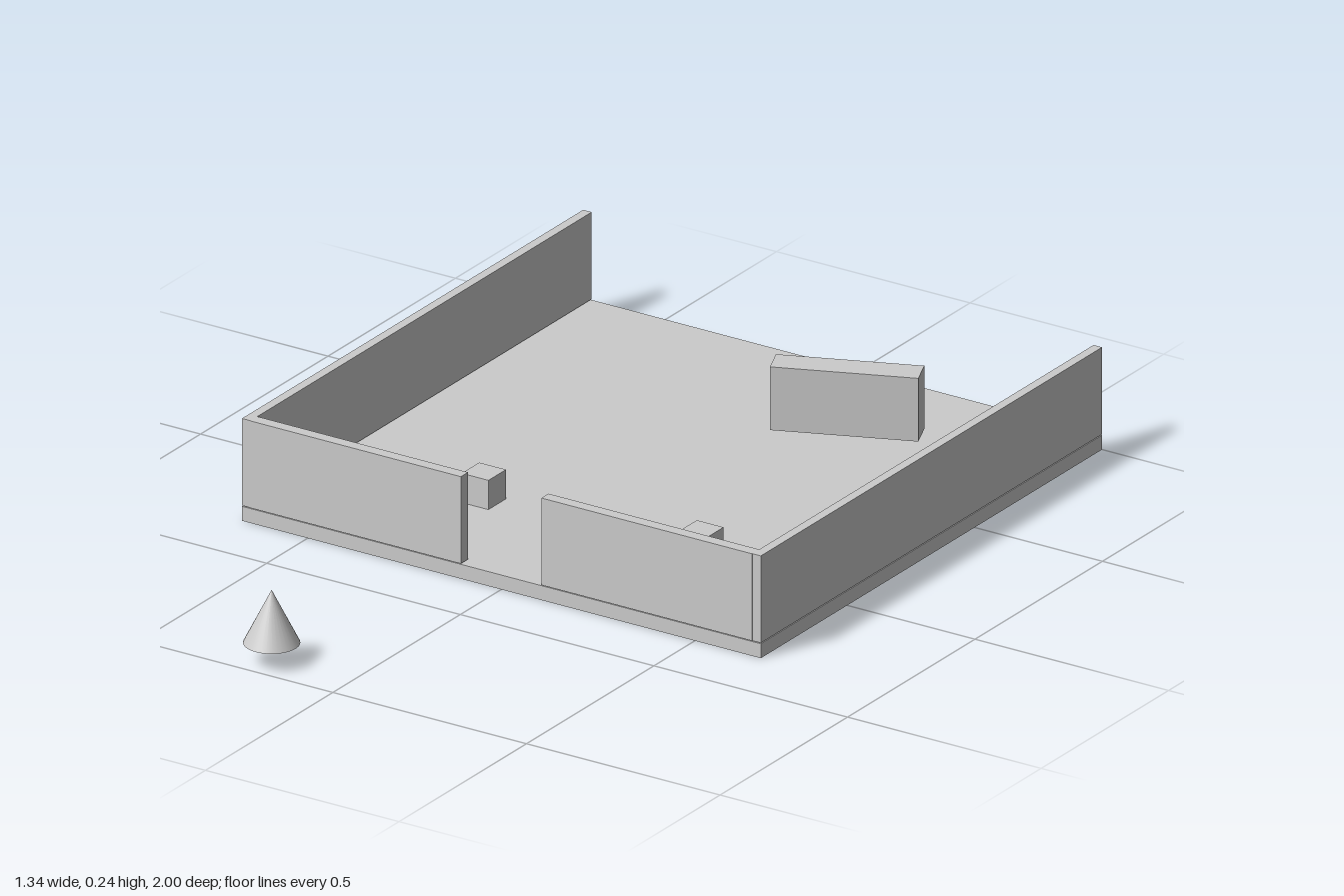
import * as THREE from 'three';

export function createModel() {
  const model = new THREE.Group();
  const material = new THREE.MeshStandardMaterial({ color: 0xcccccc });

  const add = (name, geometry, x, y, z) => {
    const mesh = new THREE.Mesh(geometry, material);
    mesh.name = name;
    mesh.position.set(x, y, z);
    model.add(mesh);
    return mesh;
  };

  // Box given by its lower and upper corners
  const box = (name, [x0, y0, z0], [x1, y1, z1]) =>
    add(name, new THREE.BoxGeometry(x1 - x0, y1 - y0, z1 - z0),
      (x0 + x1) / 2, (y0 + y1) / 2, (z0 + z1) / 2);

  // Floor slab, open at the back
  box('floor', [-0.67, 0, -1], [0.67, 0.034, 0.339]);

  // Side walls, and front walls with a doorway between them
  const bottom = 0.036, top = 0.241;
  box('rightSideWall', [-0.67, bottom, -1], [-0.648, top, 0.339]);
  box('leftSideWall', [0.648, bottom, -1], [0.67, top, 0.339]);
  box('rightFrontWall', [-0.648, bottom, 0.312], [-0.104, top, 0.34]);
  box('leftFrontWall', [0.104, bottom, 0.312], [0.648, top, 0.34]);

  // Small blocks standing inside
  for (const [name, x] of [['rightBlock', -0.25], ['leftBlock', 0.312]]) {
    add(name, new THREE.BoxGeometry(0.069, 0.069, 0.069), x, 0.069, 0.028);
  }

  // Turned counter near the back
  const counter = add('counter', new THREE.BoxGeometry(0.326, 0.149, 0.069), 0.211, 0.122, -0.697);
  counter.rotation.y = 0.391;

  // Cone outside the doorway
  add('cone', new THREE.ConeGeometry(0.062, 0.124, 32), -0.199, 0.109, 0.938);

  return model;
}
